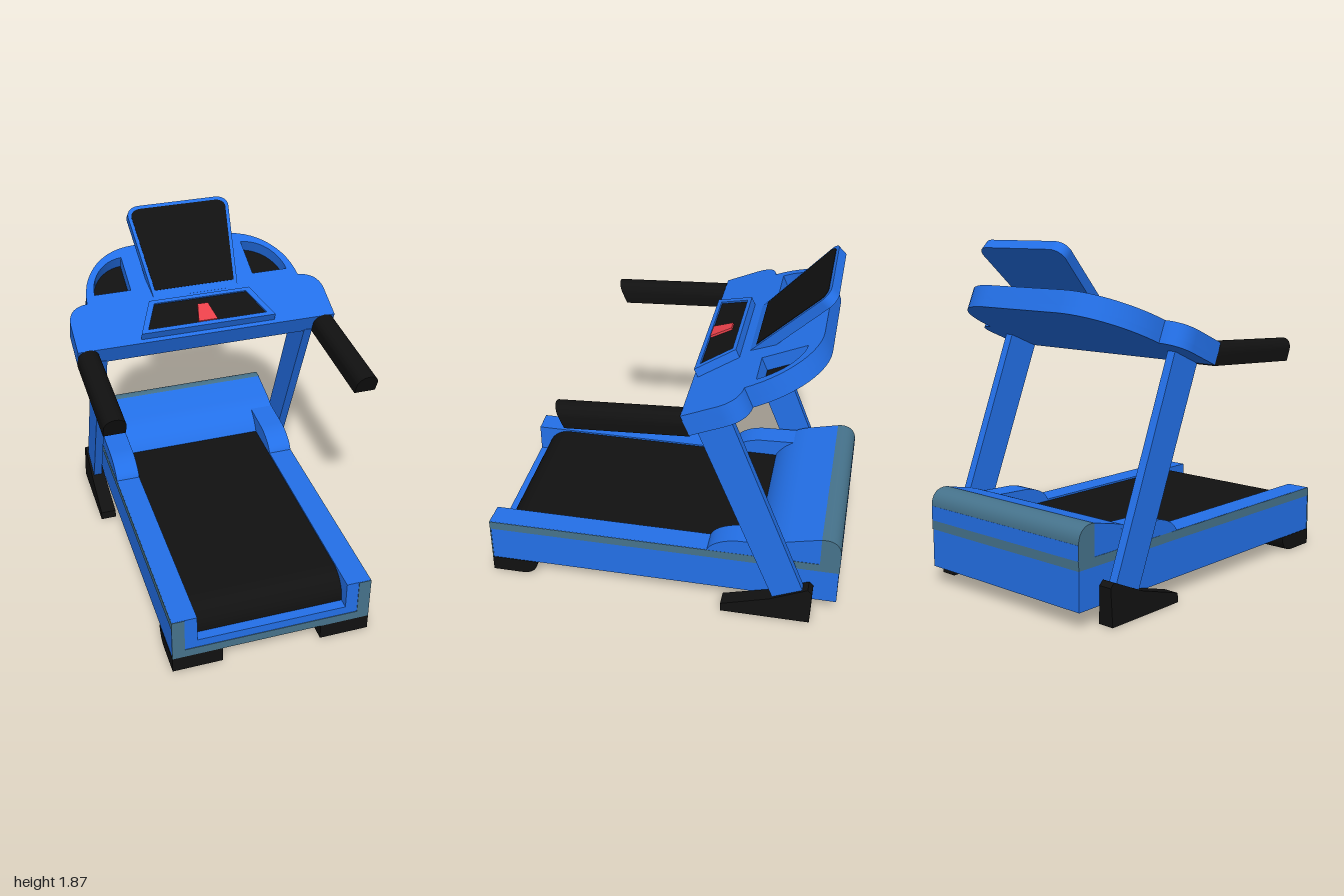
import * as THREE from 'three';
import { toCreasedNormals } from 'three/addons/utils/BufferGeometryUtils.js';

const mat = (color) => new THREE.MeshStandardMaterial({ color });

export function createModel() {
  const blue = mat(0x2370e8), teal = mat(0x46738c), black = mat(0x111111), red = mat(0xe8404a);
  const model = new THREE.Group();

  const add = (name, geo, material, parent = model) => {
    const mesh = new THREE.Mesh(toCreasedNormals(geo, 0.5), material);
    mesh.name = name;
    parent.add(mesh);
    return mesh;
  };
  // box given by its minimum and maximum on each axis
  const box = (name, x0, x1, y0, y1, z0, z1, material) =>
    add(name, new THREE.BoxGeometry(x1 - x0, y1 - y0, z1 - z0)
      .translate((x0 + x1) / 2, (y0 + y1) / 2, (z0 + z1) / 2), material);
  const poly = (pts) => new THREE.Shape(pts.map((p) => new THREE.Vector2(...p)));
  const extrude = (shape, depth) =>
    new THREE.ExtrudeGeometry(shape, { depth, bevelEnabled: false, curveSegments: 12 });
  // side outline drawn as (z, y), swept from x0 to x1
  const sweepX = (shape, x0, x1) =>
    extrude(shape, x1 - x0).rotateY(-Math.PI / 2).translate(x1, 0, 0);
  // flat plate with its top face at height top in a tilted group
  const plate = (name, shape, bottom, top, material, parent) =>
    add(name, extrude(shape, top - bottom).translate(0, 0, bottom), material, parent);
  const mirrored = (half) => [...half, ...half.filter((p) => p[0] > 0).reverse().map(([x, y]) => [-x, y])];

  // Deck frame
  box('deckBase', -0.557, 0.557, 0.09, 0.19, -0.997, 0.997, blue);
  box('rearBlock', -0.557, 0.557, 0.19, 0.35, -0.997, -0.6, blue);
  box('rearPanel', -0.557, 0.557, 0.35, 0.43, -1.001, -0.99, blue);
  box('rearStripe', -0.56, 0.56, 0.3, 0.35, -1, -0.99, teal);
  add('frontTrim', extrude(poly([
    [-0.56, 0.09], [0.56, 0.09], [0.56, 0.349], [0.49, 0.349], [0.49, 0.14],
    [-0.49, 0.14], [-0.49, 0.349], [-0.56, 0.349]]), 0.006).translate(0, 0, 0.994), teal);

  // Running belt with a rounded front edge
  const belt = new THREE.Shape();
  belt.moveTo(-0.62, 0.18);
  belt.lineTo(0.94, 0.18);
  belt.lineTo(0.94, 0.2);
  belt.absellipse(0.8, 0.2, 0.14, 0.14, 0, Math.PI / 2, false);
  belt.lineTo(-0.62, 0.34);
  add('runningBelt', sweepX(belt, -0.42, 0.42), black);

  // Motor hood and its rounded rear cap
  const hood = new THREE.Shape();
  hood.moveTo(-0.89, 0.3);
  hood.lineTo(-0.53, 0.3);
  hood.lineTo(-0.53, 0.345);
  hood.quadraticCurveTo(-0.59, 0.45, -0.72, 0.48);
  hood.lineTo(-0.89, 0.52);
  add('motorHood', sweepX(hood, -0.558, 0.558), blue);
  const cap = new THREE.Shape();
  cap.moveTo(-1, 0.34);
  cap.lineTo(-0.89, 0.34);
  cap.lineTo(-0.89, 0.52);
  cap.bezierCurveTo(-0.95, 0.53, -1, 0.5, -1, 0.43);
  add('rearCap', sweepX(cap, -0.56, 0.56), teal);

  // Paired parts
  const fairing = new THREE.Shape();
  fairing.moveTo(-0.7, 0.34);
  fairing.lineTo(-0.26, 0.34);
  fairing.bezierCurveTo(-0.27, 0.4, -0.37, 0.44, -0.45, 0.44);
  fairing.lineTo(-0.7, 0.45);

  const frontFoot = new THREE.Shape();
  frontFoot.moveTo(1, 0);
  frontFoot.lineTo(1, 0.09);
  frontFoot.lineTo(0.73, 0.09);
  frontFoot.quadraticCurveTo(0.74, 0, 0.83, 0);

  const rearFoot = poly([[-0.86, 0], [-0.36, 0], [-0.36, 0.05], [-0.63, 0.13], [-0.84, 0.225], [-0.865, 0.2]]);
  const upright = poly([[-0.83, 0.16], [-0.66, 0.1], [-0.19, 1.25], [-0.37, 1.32]]);

  const grip = new THREE.Shape();
  grip.moveTo(-0.06, 0);
  grip.lineTo(0.06, 0);
  grip.lineTo(0.06, 0.06);
  grip.absarc(0, 0.06, 0.06, 0, Math.PI, false);

  for (const s of [1, -1]) {
    const side = s > 0 ? 'left' : 'right';
    const span = (a, b) => (s > 0 ? [a, b] : [-b, -a]);
    box(side + 'Rail', ...span(0.42, 0.557), 0.19, 0.35, -0.9, 0.997, blue);
    box(side + 'Stripe', ...span(0.55, 0.56), 0.3, 0.349, -1, 1, teal);
    add(side + 'Fairing', sweepX(fairing, ...span(0.42, 0.559)), blue);
    add(side + 'FrontFoot', sweepX(frontFoot, ...span(0.28, 0.56)), black);
    add(side + 'Upright', sweepX(upright, ...span(0.583, 0.632)), blue);

    // rear foot narrows toward the top
    const foot = sweepX(rearFoot, ...span(0.56, 0.652));
    const fp = foot.attributes.position;
    for (let i = 0; i < fp.count; i++) {
      const c = s * 0.606;
      fp.setX(i, c + (fp.getX(i) - c) * (1 - 0.9 * fp.getY(i)));
    }
    foot.computeVertexNormals();
    add(side + 'RearFoot', foot, black);

    // handlebar: slanted front end, dropping slightly toward the user
    const bar = extrude(grip, 0.65);
    const bp = bar.attributes.position;
    for (let i = 0; i < bp.count; i++) {
      const t = bp.getZ(i) / 0.65, y = bp.getY(i);
      bp.setXYZ(i, bp.getX(i) + s * 0.69, 1.235 - 0.035 * t + y, -0.2 + 0.65 * t + y * 0.42);
    }
    bar.computeVertexNormals();
    add(side + 'Handlebar', bar, black);
  }

  // Tilted console: local x across, y up the slope, z out of the top face
  const consoleGroup = new THREE.Group();
  consoleGroup.name = 'console';
  consoleGroup.position.set(0, 1.35, -0.15);
  consoleGroup.rotation.x = -1.165;
  model.add(consoleGroup);

  const outline = () => {
    const sh = new THREE.Shape();
    sh.moveTo(-0.75, 0);
    sh.lineTo(0.75, 0);
    sh.lineTo(0.75, 0.2);
    sh.bezierCurveTo(0.745, 0.29, 0.69, 0.32, 0.63, 0.325);
    sh.lineTo(0.625, 0.37);
    sh.bezierCurveTo(0.6, 0.56, 0.46, 0.71, 0.27, 0.71);
    sh.lineTo(-0.27, 0.71);
    sh.bezierCurveTo(-0.46, 0.71, -0.6, 0.56, -0.625, 0.37);
    sh.lineTo(-0.63, 0.325);
    sh.bezierCurveTo(-0.69, 0.32, -0.745, 0.29, -0.75, 0.2);
    return sh;
  };
  const upper = outline();
  for (const s of [1, -1]) {
    const tray = new THREE.Path();
    tray.moveTo(s * 0.365, 0.38);
    tray.lineTo(s * 0.575, 0.38);
    tray.bezierCurveTo(s * 0.57, 0.5, s * 0.49, 0.62, s * 0.365, 0.63);
    tray.closePath();
    upper.holes.push(tray);
    plate('trayFloor', poly([[s * 0.35, 0.37], [s * 0.58, 0.37], [s * 0.58, 0.48], [s * 0.47, 0.64], [s * 0.35, 0.64]]),
      -0.085, -0.077, black, consoleGroup);
  }
  plate('consoleBottom', outline(), -0.12, -0.08, blue, consoleGroup);
  plate('consoleTop', upper, -0.08, 0, blue, consoleGroup);

  // Control panel with raised rim, dark face and safety key
  const rim = poly(mirrored([[0.39, 0.025], [0.295, 0.245]]));
  rim.holes.push(new THREE.Path(poly(mirrored([[0.345, 0.05], [0.27, 0.222]])).getPoints()));
  plate('controlRim', rim, -0.01, 0.05, blue, consoleGroup);
  plate('controlFace', poly(mirrored([[0.36, 0.04], [0.28, 0.23]])), -0.01, 0.04, black, consoleGroup);
  plate('safetyKey', poly(mirrored([[0.055, 0.055], [0.03, 0.175]])), 0.03, 0.052, red, consoleGroup);

  // Display screen
  const screenGroup = new THREE.Group();
  screenGroup.name = 'display';
  screenGroup.position.set(0, 1.475, -0.43);
  screenGroup.rotation.x = -0.78;
  model.add(screenGroup);
  const screenShape = (bottomX, topX, y0, y1, r) => {
    const sh = new THREE.Shape();
    sh.moveTo(-bottomX, y0);
    sh.lineTo(bottomX, y0);
    sh.lineTo(topX - 0.008, y1 - r);
    sh.bezierCurveTo(topX + 0.004, y1 - r * 0.35, topX - r * 0.4, y1, topX - r, y1);
    sh.lineTo(-topX + r, y1);
    sh.bezierCurveTo(-topX + r * 0.4, y1, -topX - 0.004, y1 - r * 0.35, -topX + 0.008, y1 - r);
    return sh;
  };
  plate('displayHousing', screenShape(0.25, 0.308, -0.01, 0.55, 0.08), -0.056, 0, blue, screenGroup);
  plate('displayGlass', screenShape(0.235, 0.288, 0.035, 0.53, 0.065), -0.01, 0.003, black, screenGroup);

  return model;
}
